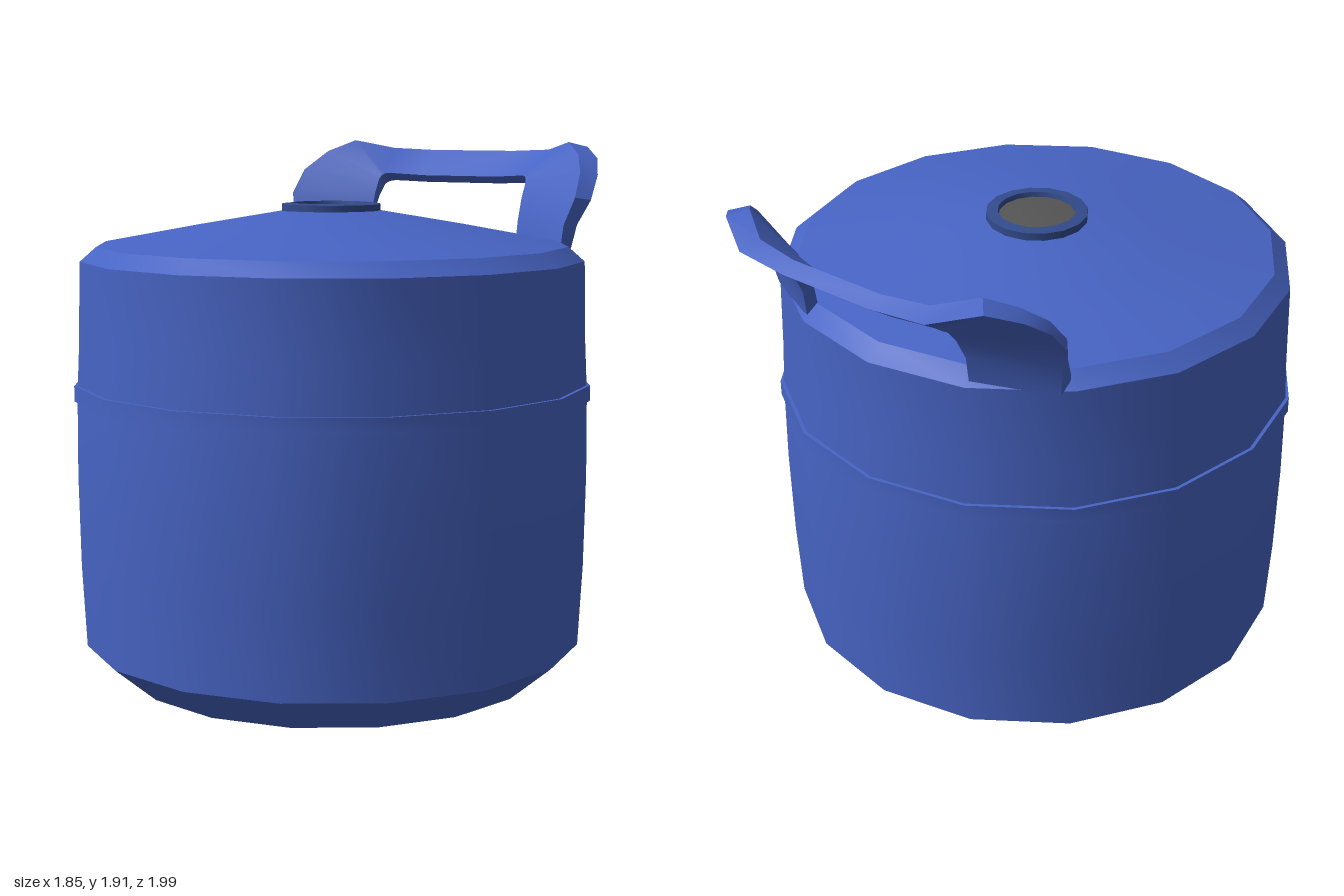
import * as THREE from 'three';
import { toCreasedNormals } from 'three/addons/utils/BufferGeometryUtils.js';

const CENTRE_Z = 0.07;

function material(name, color, side = THREE.FrontSide) {
  const m = new THREE.MeshStandardMaterial({ color, side });
  m.name = name;
  return m;
}

// Turned part with soft sides and sharp rims
function turned(name, profile, sides, mat, crease = 0.5) {
  const points = profile.map(([r, y]) => new THREE.Vector2(r, y));
  const mesh = new THREE.Mesh(toCreasedNormals(new THREE.LatheGeometry(points, sides), crease), mat);
  mesh.name = name;
  return mesh;
}

// Closed four-cornered strip through a list of cross-sections
function strip(sections) {
  const index = [0, 1, 2, 0, 2, 3];
  const last = (sections.length - 1) * 4;
  for (let i = 0; i < last; i += 4) {
    for (let k = 0; k < 4; k++) {
      const a = i + k, b = i + (k + 1) % 4;
      index.push(a, a + 4, b + 4, a, b + 4, b);
    }
  }
  index.push(last, last + 2, last + 1, last, last + 3, last + 2);
  const geo = new THREE.BufferGeometry();
  geo.setAttribute('position', new THREE.Float32BufferAttribute(sections.flat(2), 3));
  geo.setIndex(index);
  return toCreasedNormals(geo, 0.55);
}

export function createModel() {
  const blue = material('blue', 0x4764c4);
  const darkBlue = material('dark blue', 0x324b8c);
  const grey = material('dark grey', 0x555555);
  const model = new THREE.Group();
  model.name = 'canister';

  // Body with a recessed foot and a slight bulge
  const body = turned('body', [
    [0, 0.1], [0.655, 0.1], [0.74, 0], [0.895, 0.13], [0.91, 0.42],
    [0.916, 0.75], [0.913, 1.04], [0.904, 1.22], [0.897, 1.505],
  ], 16, blue);

  // Shallow domed lid
  const lid = turned('lid', [
    [0.897, 1.505], [0.84, 1.555], [0.48, 1.622], [0.17, 1.675], [0, 1.68],
  ], 16, blue);

  // Raised belt around the body
  const belt = turned('belt', [
    [0.9, 1.015], [0.924, 1.015], [0.924, 1.07], [0.9, 1.07],
  ], 16, blue);
  for (const part of [body, lid, belt]) {
    part.position.z = CENTRE_Z;
    model.add(part);
  }

  // Filler cap: rim with a sunken plug
  const cap = new THREE.Group();
  cap.name = 'cap';
  cap.position.set(-0.01, 0, 0.06);
  cap.add(
    turned('capRim', [[0.178, 1.66], [0.178, 1.698], [0.137, 1.702], [0.132, 1.67]], 16, darkBlue),
    turned('capPlug', [[0.135, 1.684], [0.08, 1.69], [0, 1.692]], 16, grey),
  );
  model.add(cap);

  // Handle edges from leg foot to mid bar: front outer, front inner, back inner, back outer
  const half = [
    [[0.6, 1.5, -0.53], [0.33, 1.5, -0.69], [0.345, 1.5, -0.735], [0.605, 1.5, -0.6]],
    [[0.6, 1.61, -0.56], [0.33, 1.61, -0.71], [0.345, 1.61, -0.75], [0.625, 1.61, -0.62]],
    [[0.625, 1.71, -0.6], [0.33, 1.7, -0.74], [0.34, 1.69, -0.79], [0.665, 1.7, -0.65]],
    [[0.61, 1.8, -0.67], [0.33, 1.755, -0.77], [0.335, 1.735, -0.825], [0.657, 1.79, -0.72]],
    [[0.56, 1.865, -0.75], [0.325, 1.77, -0.78], [0.33, 1.743, -0.84], [0.615, 1.85, -0.8]],
    [[0.48, 1.908, -0.83], [0.315, 1.778, -0.788], [0.32, 1.747, -0.845], [0.53, 1.89, -0.89]],
    [[0.35, 1.877, -0.92], [0.3, 1.78, -0.8], [0.3, 1.75, -0.85], [0.38, 1.85, -0.985]],
    [[0.18, 1.87, -0.948], [0.16, 1.772, -0.838], [0.16, 1.745, -0.868], [0.18, 1.84, -1.0]],
  ];
  const mirrored = half.map((s) => s.map(([x, y, z]) => [-x, y, z])).reverse();
  const handle = new THREE.Mesh(strip([...half, ...mirrored]), blue);
  handle.name = 'handle';
  model.add(handle);

  return model;
}
